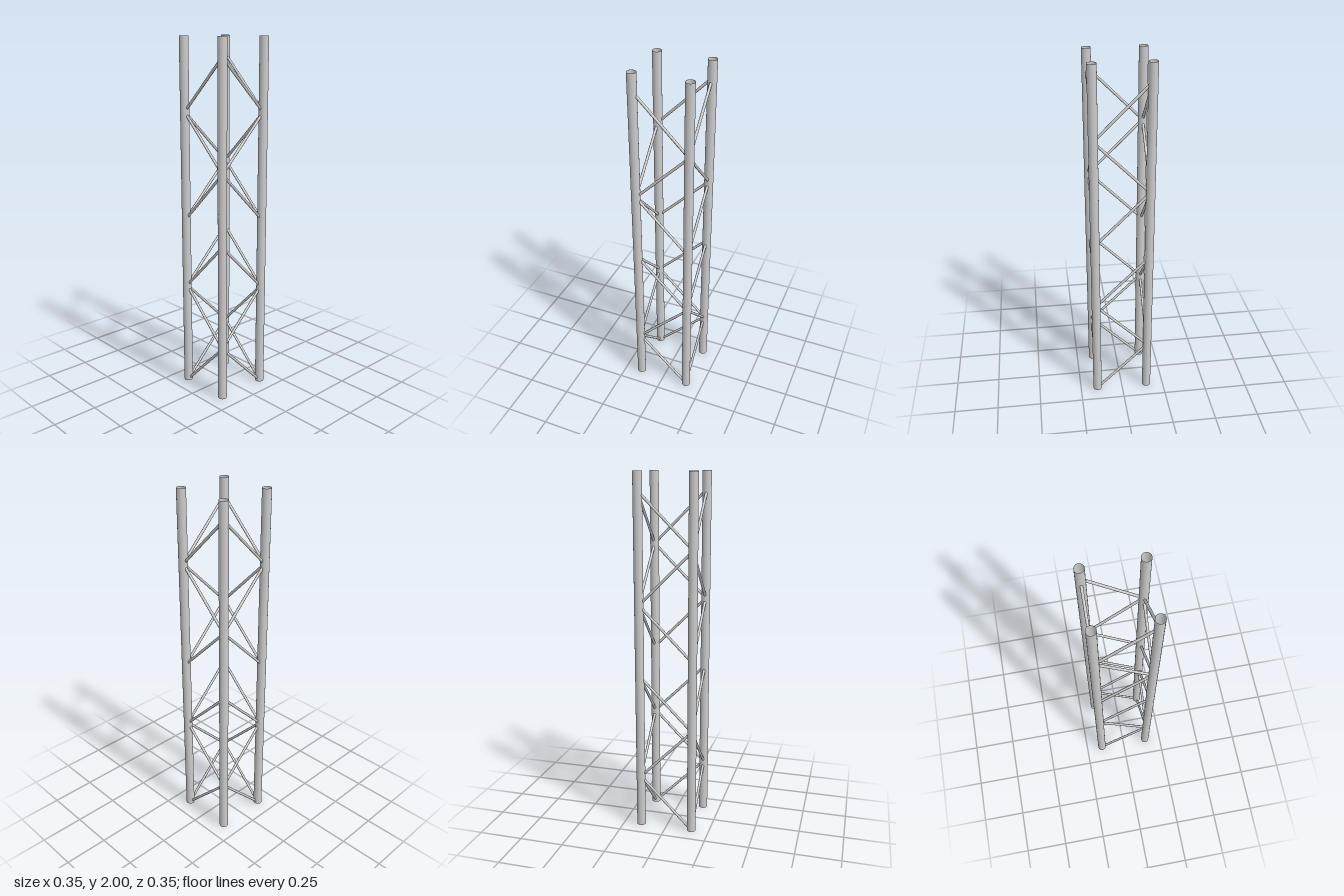
import * as THREE from 'three';

const HALF = 0.15; // distance from the axis to each face of the truss

export function createModel() {
  const model = new THREE.Group();
  model.name = 'latticeTower';
  const material = new THREE.MeshStandardMaterial({ color: 0xcccccc, side: THREE.DoubleSide });

  // Open-ended tubes: four uprights and their diagonal braces
  const legGeometry = new THREE.CylinderGeometry(0.025, 0.025, 2, 24, 1, true);
  const braceGeometry = new THREE.CylinderGeometry(0.0075, 0.0075, 0.4, 16, 1, true);

  for (let side = 0; side < 4; side++) {
    const face = new THREE.Group();
    face.name = `trussFace${side + 1}`;
    face.rotation.y = side * Math.PI / 2;

    // One upright at the corner of each face
    const leg = new THREE.Mesh(legGeometry, material);
    leg.name = 'upright';
    leg.position.set(HALF, 1, HALF);
    face.add(leg);

    // Two stacked zigzags of three braces; neighbouring faces mirror each other
    const mirror = side % 2 ? -1 : 1;
    for (const base of [0, 1]) {
      for (let i = 0; i < 3; i++) {
        const brace = new THREE.Mesh(braceGeometry, material);
        brace.name = 'diagonalBrace';
        brace.position.set(0, base + 0.15 + 0.3 * i, HALF);
        brace.rotation.z = mirror * (i % 2 ? -1 : 1) * Math.PI / 4;
        face.add(brace);
      }
    }
    model.add(face);
  }
  return model;
}
